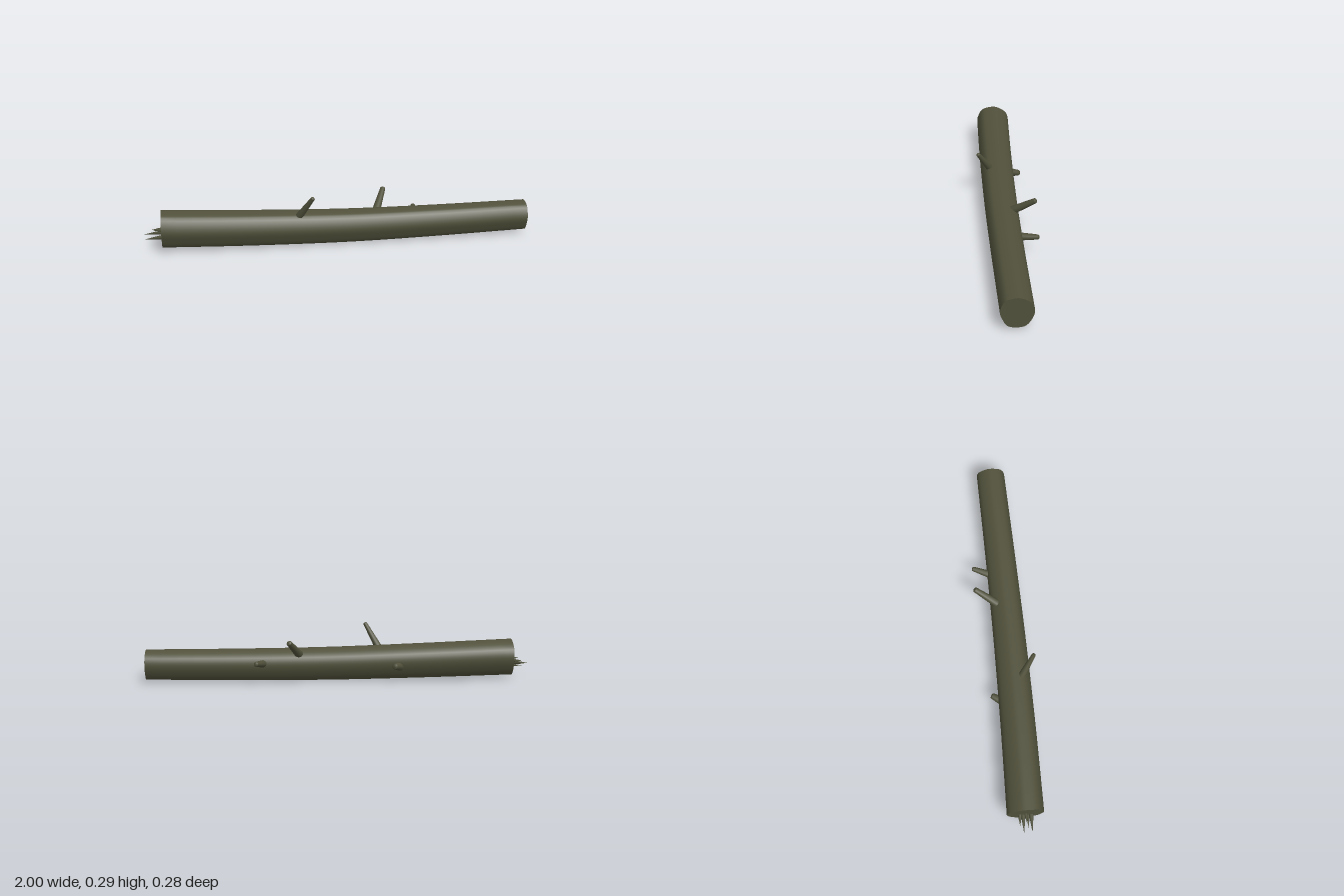
import * as THREE from 'three';

const V = (x, y, z) => new THREE.Vector3(x, y, z);

export function createModel() {
  const group = new THREE.Group();
  const bark = new THREE.MeshStandardMaterial({ color: 0x50503b });
  bark.name = 'bark';

  const add = (name, geometry) => {
    const mesh = new THREE.Mesh(geometry, bark);
    mesh.name = name;
    group.add(mesh);
    return mesh;
  };

  // Lumpy unit outline of the trunk: [angle in degrees, radius], drawn in the z-y plane
  const outline = new THREE.CatmullRomCurve3([
    [5, 1.0], [49, 1.07], [75, 1.02], [101, 1.02], [144, 1.04], [175, 1.0],
    [207, 0.95], [244, 1.03], [281, 1.02], [304, 1.05], [333, 0.95],
  ].map(([d, r]) => {
    const a = THREE.MathUtils.degToRad(d);
    return V(0, Math.sin(a) * r, Math.cos(a) * r);
  }), true);
  const SIDES = 40;
  const unit = outline.getPoints(SIDES).slice(0, SIDES);

  // Centre line and radius along the trunk
  const spine = new THREE.CatmullRomCurve3([
    V(-0.91, 0.115, 0.015), V(-0.45, 0.099, 0.024), V(0.05, 0.087, 0.027),
    V(0.5, 0.087, 0.023), V(1, 0.0925, 0.015),
  ]);
  const radius = new THREE.CatmullRomCurve3([
    V(0, 0.093, 0), V(0.25, 0.0895, 0), V(0.5, 0.085, 0), V(0.75, 0.081, 0), V(1, 0.077, 0),
  ]);
  const ring = (t) => {
    const c = spine.getPoint(t), r = radius.getPoint(t).y;
    return unit.map((u) => V(c.x, c.y + u.y * r, c.z + u.z * r));
  };

  // Trunk skin
  const ROWS = 24;
  const points = [], index = [];
  for (let i = 0; i <= ROWS; i++) points.push(...ring(i / ROWS));
  for (let i = 0; i < ROWS; i++) {
    for (let j = 0; j < SIDES; j++) {
      const a = i * SIDES + j, b = i * SIDES + (j + 1) % SIDES;
      index.push(a, a + SIDES, b, b, a + SIDES, b + SIDES);
    }
  }
  const skin = new THREE.BufferGeometry().setFromPoints(points);
  skin.setIndex(index);
  skin.computeVertexNormals();
  add('trunk', skin);

  // Flat cut ends
  [['brokenEnd', 0], ['cutEnd', 1]].forEach(([name, t]) => {
    const pts = [spine.getPoint(t), ...ring(t)], faces = [];
    for (let j = 0; j < SIDES; j++) {
      const a = 1 + j, b = 1 + (j + 1) % SIDES;
      faces.push(0, ...(t ? [b, a] : [a, b]));
    }
    const cap = new THREE.BufferGeometry().setFromPoints(pts);
    cap.setIndex(faces);
    cap.computeVertexNormals();
    add(name, cap);
  });

  // Tapered shape from one point to another, with a slightly rounded tip
  const limb = (name, from, to, r0, r1, sides) => {
    const dir = to.clone().sub(from), len = dir.length();
    const profile = r1 > 0
      ? [[r0, 0], [r1, len - r1 * 0.45], [r1 * 0.75, len - r1 * 0.1], [0, len]]
      : [[r0, 0], [r0 * 0.6, len * 0.45], [0, len]];
    const mesh = add(name, new THREE.LatheGeometry(profile.map(([x, y]) => new THREE.Vector2(x, y)), sides));
    mesh.position.copy(from);
    mesh.quaternion.setFromUnitVectors(V(0, 1, 0), dir.normalize());
  };

  // Branch stubs
  [
    [V(-0.225, 0.14, 0.055), V(-0.145, 0.284, 0.135), 0.021, 0.0105],
    [V(0.205, 0.14, -0.02), V(0.262, 0.226, -0.135), 0.022, 0.014],
    [V(0.39, 0.1, -0.035), V(0.43, 0.117, -0.136), 0.021, 0.0125],
    [V(-0.32, 0.078, -0.035), V(-0.282, 0.09, -0.097), 0.024, 0.016],
  ].forEach(([from, to, r0, r1], i) => limb('branchStub' + (i + 1), from, to, r0, r1, 12));

  // Splinters on the broken end
  [
    [V(-0.9, 0.08, 0.045), V(-1, 0.07, 0.042), 0.012],
    [V(-0.9, 0.09, 0.005), V(-1, 0.082, 0), 0.012],
    [V(-0.9, 0.1, -0.012), V(-0.965, 0.098, -0.016), 0.012],
    [V(-0.9, 0.068, 0.028), V(-0.975, 0.064, 0.026), 0.01],
    [V(-0.9, 0.106, 0.018), V(-0.955, 0.108, 0.018), 0.01],
  ].forEach(([from, to, r], i) => limb('splinter' + (i + 1), from, to, r, 0, 6));

  return group;
}
